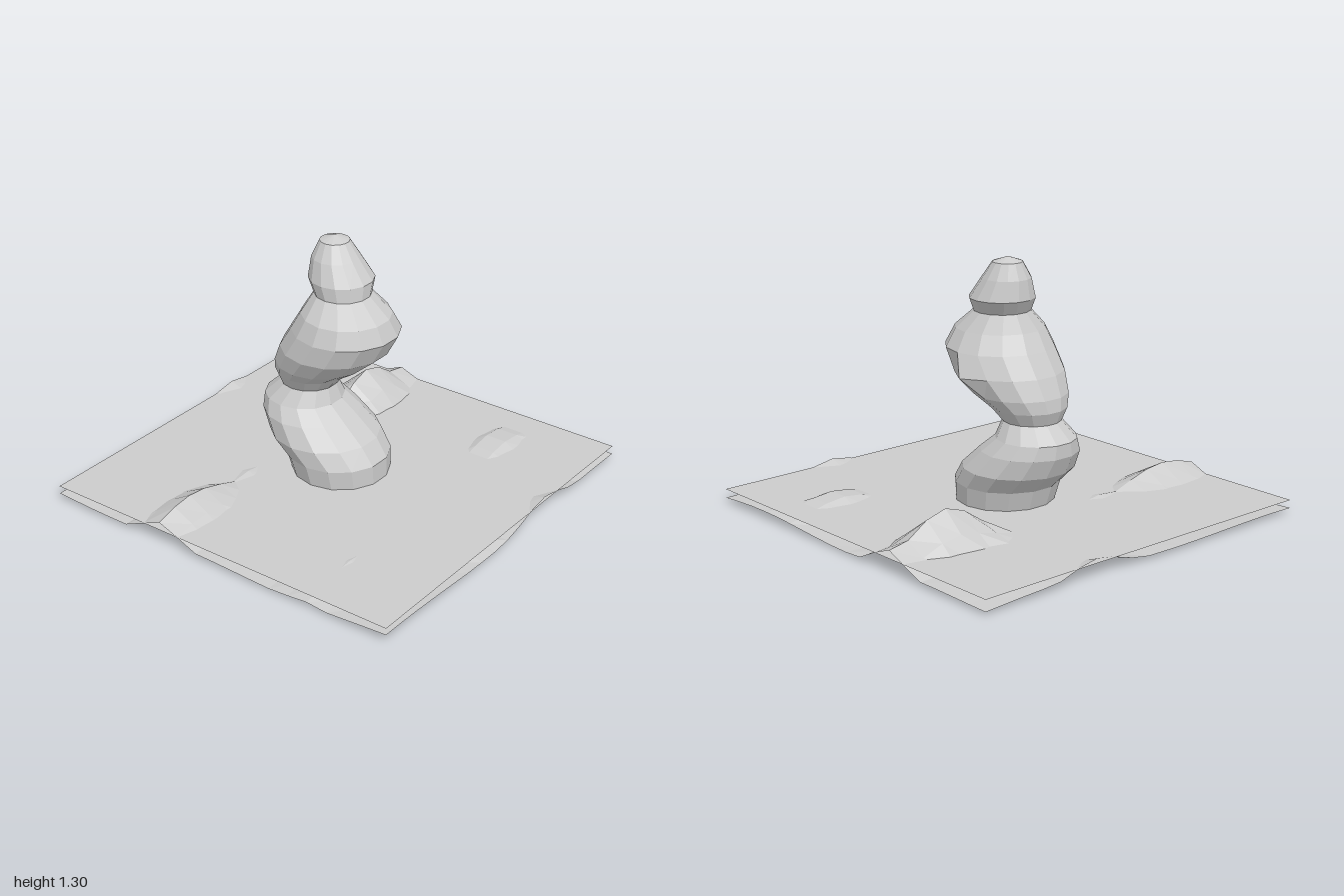
import * as THREE from 'three';

const material = new THREE.MeshStandardMaterial({
  color: 0xcccccc, flatShading: true, side: THREE.DoubleSide,
});

function add(group, name, geometry) {
  const mesh = new THREE.Mesh(geometry, material);
  mesh.name = name;
  group.add(mesh);
  return mesh;
}

// Hills: centre x, centre z, height, spread x, spread z
const HILLS = [
  [-0.33, -0.67, 0.235, 0.13, 0.24],
  [-0.33, -1, 0.11, 0.13, 0.2],
  [-0.44, -0.44, 0.09, 0.16, 0.16],
  [-0.33, 0.78, 0.155, 0.13, 0.32],
  [-0.33, 0.33, 0.08, 0.14, 0.2],
  [0.5, -0.67, 0.108, 0.14, 0.25],
  [0.55, 0.67, 0.075, 0.12, 0.26],
  [0.77, 0.18, 0.068, 0.12, 0.14],
  [-0.67, 0.67, 0.065, 0.12, 0.14],
  [-1, -0.33, 0.092, 0.13, 0.2],
  [1, -0.33, 0.092, 0.13, 0.2],
];

function terrainHeight(x, z) {
  let y = 0.02 + 0.01 * Math.sin(5 * x + 2 * z) + 0.01 * Math.sin(4 * z - 3 * x + 1);
  for (const [hx, hz, h, sx, sz] of HILLS) {
    const d = ((x - hx) / sx) ** 2 + ((z - hz) / sz) ** 2;
    y = Math.max(y, h * Math.exp(-0.7 * d));
  }
  return y;
}

// Tower rings: y, centre x, centre z, radius
const RINGS = [
  [0.03, 0, -0.01, 0.243],
  [0.17, -0.025, -0.01, 0.265],
  [0.26, -0.105, -0.01, 0.28],
  [0.36, -0.185, -0.005, 0.247],
  [0.43, -0.23, -0.005, 0.202],
  [0.51, -0.2, -0.005, 0.145],
  [0.575, -0.185, -0.01, 0.187],
  [0.64, -0.13, -0.015, 0.235],
  [0.74, -0.05, -0.02, 0.275],
  [0.85, 0.013, -0.025, 0.272],
  [0.94, 0.022, -0.015, 0.225],
  [1.03, -0.015, -0.035, 0.142],
  [1.1, -0.038, -0.055, 0.164],
  [1.2, -0.07, -0.055, 0.122],
  [1.28, -0.083, -0.06, 0.075],
  [1.305, -0.085, -0.06, 0.001],
];

function towerGeometry(sides) {
  const positions = [], indices = [];
  RINGS.forEach(([y, cx, cz, r], k) => {
    for (let i = 0; i < sides; i++) {
      const a = (i / sides) * Math.PI * 2;
      // small pulled-out point on the rear seam
      const spike = i === sides / 2 && k === 8 ? 0.045 : 0;
      positions.push(cx + r * Math.sin(a), y, cz + (r + spike) * Math.cos(a));
      if (k === RINGS.length - 1) continue;
      const p = k * sides + i, q = k * sides + (i + 1) % sides;
      indices.push(p, q, q + sides, p, q + sides, p + sides);
    }
  });
  const geometry = new THREE.BufferGeometry();
  geometry.setAttribute('position', new THREE.Float32BufferAttribute(positions, 3));
  geometry.setIndex(indices);
  geometry.computeVertexNormals();
  return geometry;
}

export function createModel() {
  const group = new THREE.Group();
  group.name = 'windingTower';

  // Flat sheet that the hilltops poke through
  add(group, 'flatSheet', new THREE.PlaneGeometry(2, 2).rotateX(-Math.PI / 2)).position.y = 0.07;

  // Hilly ground
  const ground = new THREE.PlaneGeometry(2, 2, 18, 18).rotateX(-Math.PI / 2);
  const pos = ground.attributes.position;
  for (let i = 0; i < pos.count; i++) pos.setY(i, terrainHeight(pos.getX(i), pos.getZ(i)));
  ground.computeVertexNormals();
  add(group, 'hillyGround', ground);

  // Swaying, bulging tower
  add(group, 'tower', towerGeometry(14));

  return group;
}
